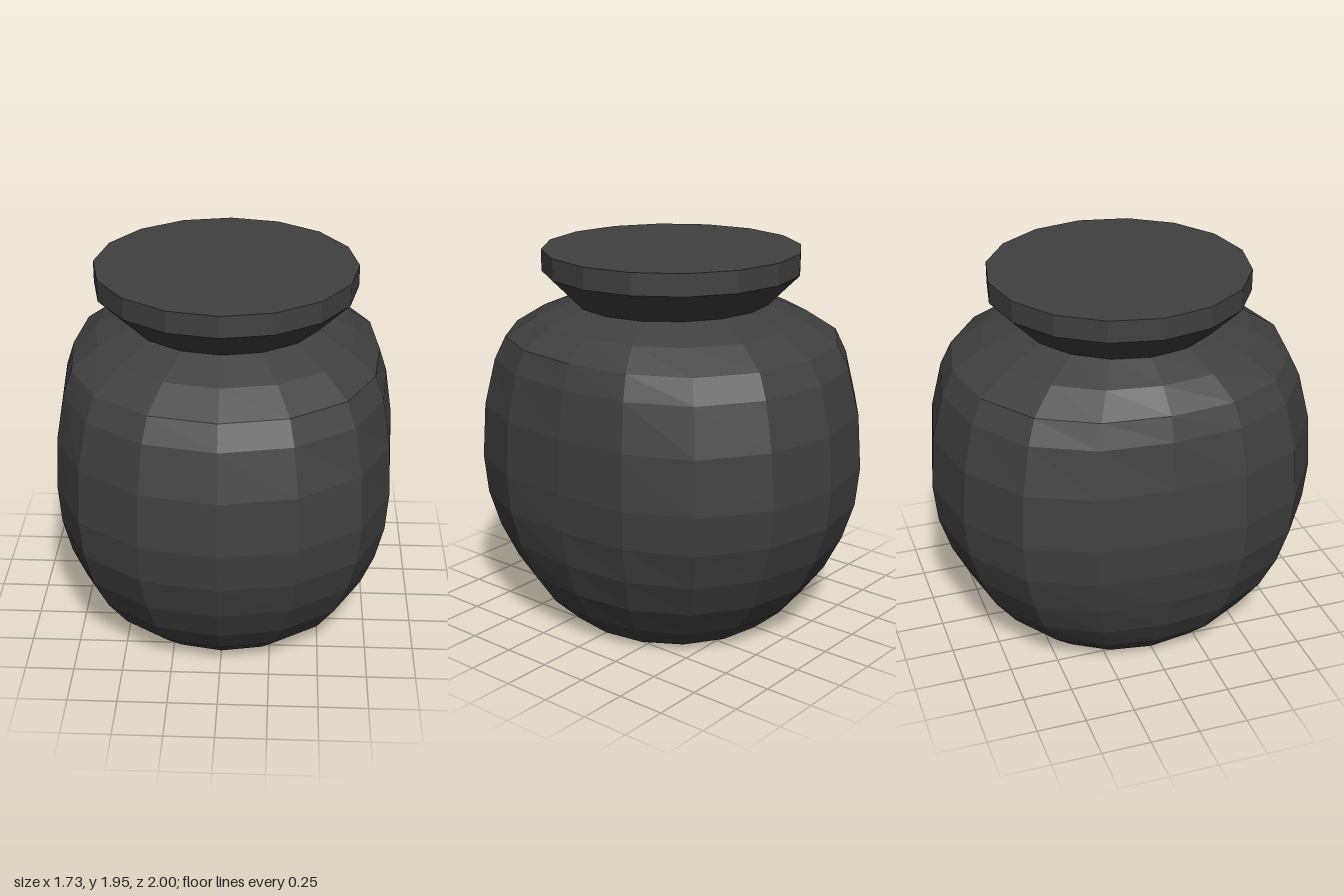
import * as THREE from 'three';

const SIDES = 16;
const material = new THREE.MeshStandardMaterial({ color: 0x404040, flatShading: true });

function lathe(name, profile) {
  const points = profile.map(([r, y]) => new THREE.Vector2(r, y));
  const mesh = new THREE.Mesh(new THREE.LatheGeometry(points, SIDES), material);
  mesh.name = name;
  return mesh;
}

// Flatten the bulging left and right sides, more strongly where the jar is wide.
function flattenSides(geometry) {
  const pos = geometry.attributes.position;
  for (let i = 0; i < pos.count; i++) {
    const x = pos.getX(i);
    const r = Math.hypot(x, pos.getZ(i));
    if (r < 1e-6) continue;
    const squash = 0.135 * Math.pow(r, 3.3) * Math.pow(x / r, 6);
    pos.setX(i, x - Math.sign(x) * squash);
  }
  geometry.computeVertexNormals();
}

export function createModel() {
  const jar = new THREE.Group();
  jar.name = 'jar';

  // Rounded body with a flat base
  const body = lathe('body', [
    [0, 0], [0.56, 0], [0.71, 0.13], [0.83, 0.29], [0.92, 0.47], [0.98, 0.66],
    [1, 0.86], [0.98, 1.14], [0.92, 1.38], [0.86, 1.5], [0.7, 1.6], [0.5, 1.68],
  ]);
  flattenSides(body.geometry);
  jar.add(body);

  // Flared neck
  jar.add(lathe('neck', [[0.5, 1.675], [0.66, 1.835]]));

  // Straight rim closed by a flat top
  jar.add(lathe('lid', [[0.66, 1.835], [0.66, 1.945], [0, 1.945]]));

  return jar;
}
